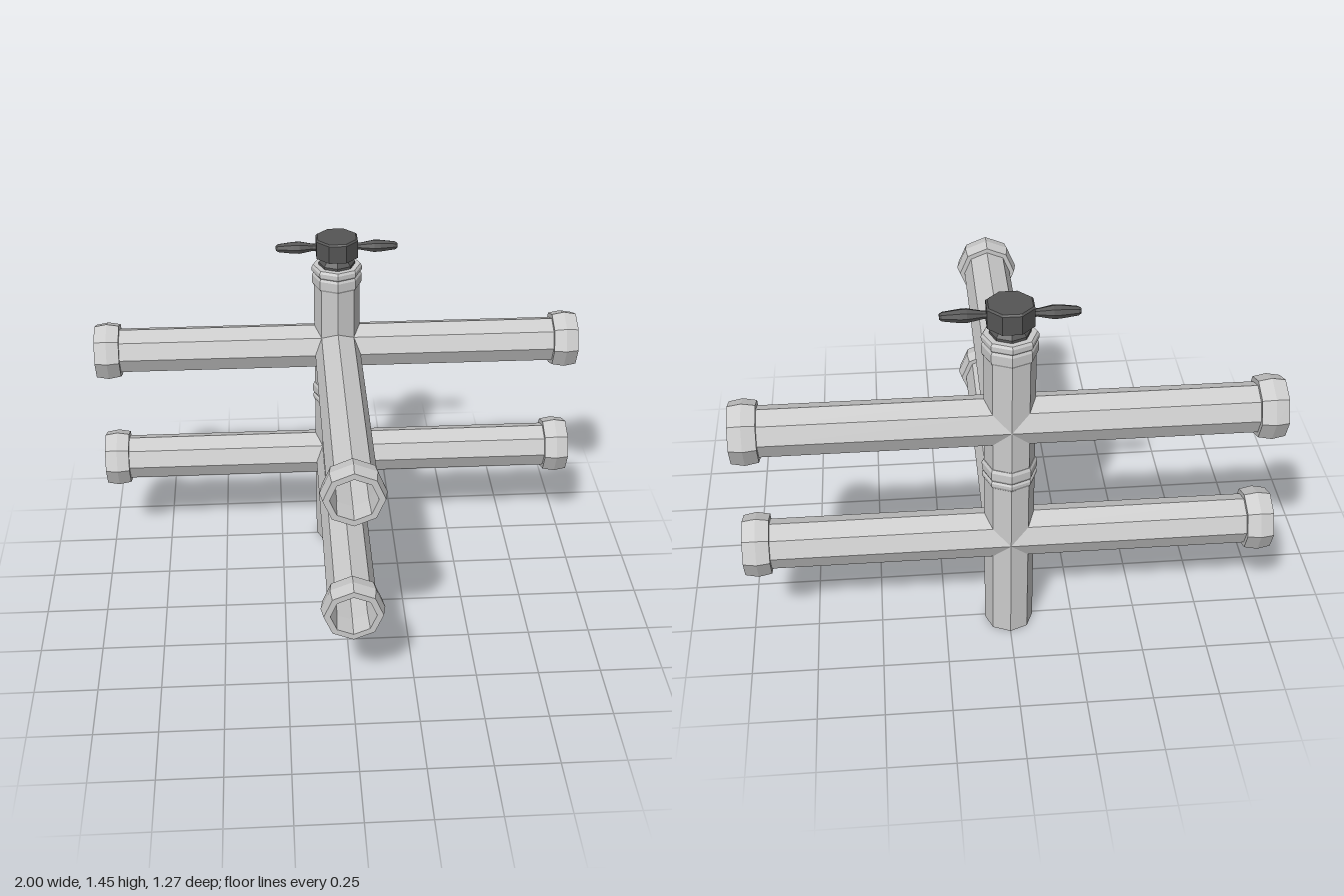
import * as THREE from 'three';

const SIDES = 8;
const POST_Z = -0.51;
const PIPE_R = 0.094;
const BORE_R = 0.082;

const steel = new THREE.MeshStandardMaterial({ color: 0xcccccc, flatShading: true, side: THREE.DoubleSide });
const dark = new THREE.MeshStandardMaterial({ color: 0x555555, flatShading: true, side: THREE.DoubleSide });

// Eight-sided turned part; profile points are [radius, height]
function turned(name, profile, material = steel, turn = 0) {
  const points = profile.map(([r, h]) => new THREE.Vector2(r, h));
  const mesh = new THREE.Mesh(new THREE.LatheGeometry(points, SIDES, turn), material);
  mesh.name = name;
  return mesh;
}

// Open hollow pipe with a thick flared rim, growing along +y
function makeArm(name, length) {
  const arm = new THREE.Group();
  arm.name = name;
  const rim = length - 0.1;
  arm.add(turned('pipe', [
    [BORE_R, rim + 0.02], [BORE_R, 0], [PIPE_R, 0], [PIPE_R, rim + 0.02],
  ]));
  arm.add(turned('rim', [
    [BORE_R, rim], [0.113, rim], [0.122, rim + 0.05], [0.113, length],
    [0.088, length], [BORE_R, rim],
  ]));
  return arm;
}

export function createModel() {
  const model = new THREE.Group();
  model.name = 'pipeStand';

  // Upright post, open at the bottom
  const post = new THREE.Group();
  post.name = 'post';
  post.position.z = POST_Z;
  post.add(turned('postPipe', [
    [BORE_R, 1.3], [BORE_R, 0], [PIPE_R, 0], [PIPE_R, 1.32], [0, 1.32],
  ]));

  // Collars: a thick band and a thin band each
  post.add(turned('middleCollar', [
    [0.09, 0.697], [0.096, 0.703], [0.102, 0.715], [0.102, 0.727], [0.097, 0.735],
    [0.102, 0.745], [0.102, 0.775], [0.096, 0.787], [0.09, 0.787],
  ]));
  post.add(turned('topCollar', [
    [0.09, 1.243], [0.096, 1.246], [0.101, 1.255], [0.101, 1.29], [0.096, 1.3],
    [0.102, 1.308], [0.102, 1.325], [0.096, 1.335], [0, 1.335],
  ]));
  model.add(post);

  // Two levels of three arms: left, right and front
  for (const [level, y] of [['lower', 0.437], ['upper', 0.964]]) {
    const left = makeArm(level + 'LeftArm', 1);
    left.rotation.z = -Math.PI / 2;
    const right = makeArm(level + 'RightArm', 1);
    right.rotation.z = Math.PI / 2;
    const front = makeArm(level + 'FrontArm', 0.635 - POST_Z);
    front.rotation.x = Math.PI / 2;
    for (const arm of [left, right, front]) {
      arm.position.set(0, y, POST_Z);
      model.add(arm);
    }
  }

  // Valve on top with two grips
  const valve = new THREE.Group();
  valve.name = 'valve';
  valve.position.z = POST_Z;
  valve.add(turned('valveNeck', [
    [0, 1.33], [0.074, 1.335], [0.074, 1.345], [0.052, 1.37], [0.052, 1.38],
  ], dark));
  valve.add(turned('valveHead', [
    [0, 1.375], [0.09, 1.375], [0.09, 1.448], [0.083, 1.454], [0, 1.454],
  ], dark, Math.PI / SIDES));
  for (const side of [1, -1]) {
    const grip = turned(side > 0 ? 'leftGrip' : 'rightGrip', [
      [0.015, 0.07], [0.015, 0.095], [0.026, 0.15], [0.025, 0.175],
      [0.017, 0.235], [0.01, 0.245], [0, 0.245],
    ], dark);
    grip.rotation.z = -side * Math.PI / 2;
    grip.position.y = 1.41;
    valve.add(grip);
  }
  model.add(valve);

  return model;
}
